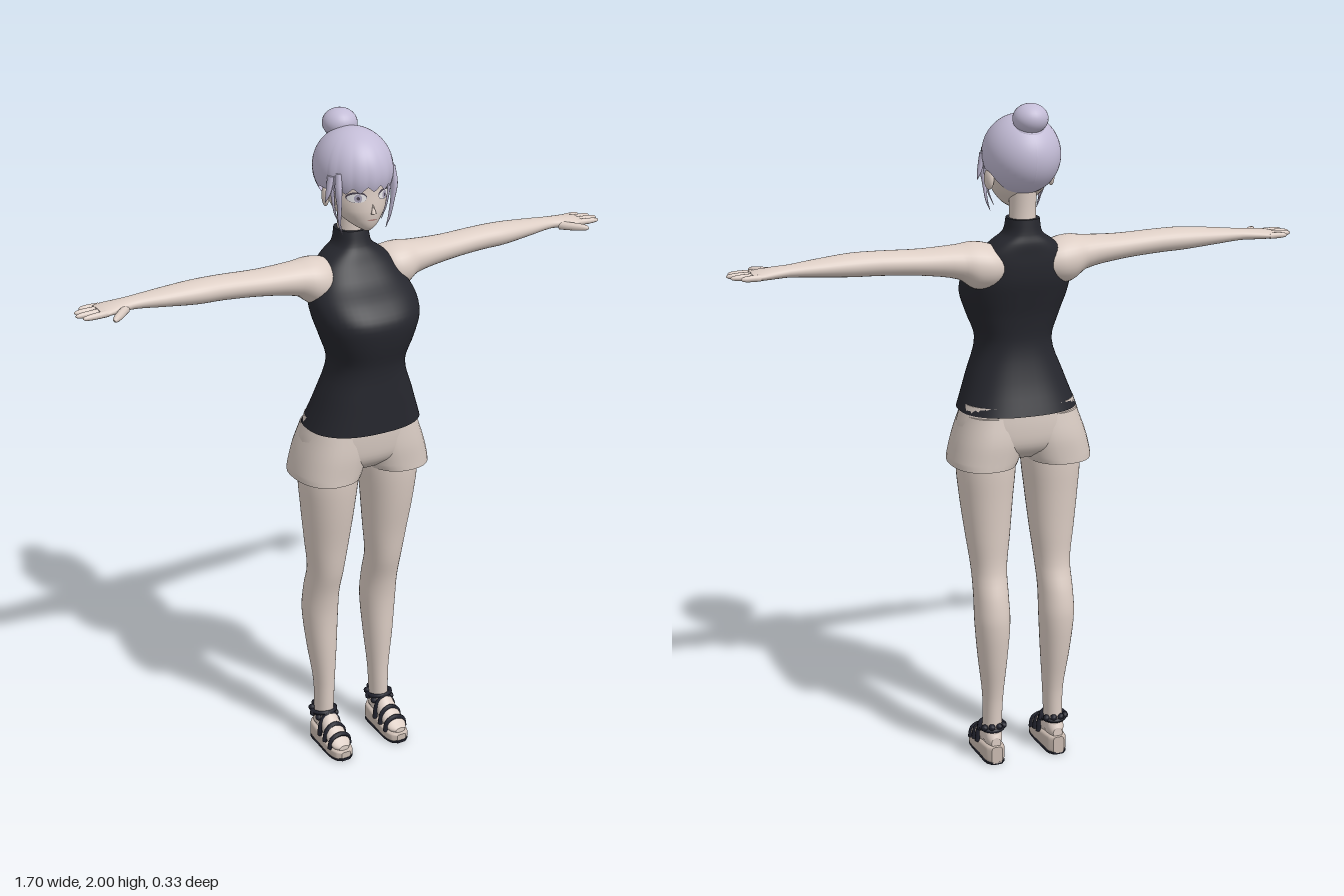
import * as THREE from 'three';

const mat = (name, color, side = THREE.FrontSide) => {
  const m = new THREE.MeshStandardMaterial({ color, side });
  m.name = name;
  return m;
};

// Smooth interpolation of rows [key, aMin, aMax, bMin, bMax], keys ascending
function at(rows, k) {
  let i = 0;
  while (i < rows.length - 2 && k > rows[i + 1][0]) i++;
  const p = rows[i], q = rows[i + 1], o = rows[Math.max(i - 1, 0)], r = rows[Math.min(i + 2, rows.length - 1)];
  const h = q[0] - p[0], t = (k - p[0]) / h, t2 = t * t, t3 = t2 * t;
  return [1, 2, 3, 4].map(c => {
    const m0 = (q[c] - o[c]) / (q[0] - o[0]), m1 = (r[c] - p[c]) / (r[0] - p[0]);
    return (2 * t3 - 3 * t2 + 1) * p[c] + (t3 - 2 * t2 + t) * h * m0 + (3 * t2 - 2 * t3) * q[c] + (t3 - t2) * h * m1;
  });
}

// Closed body of superellipse sections along axis 'y' (a=x,b=z), 'x' (a=z,b=y) or 'z' (a=y,b=x)
function loft(rows, { axis = 'y', n = 2, seg = 32, sub = 4 } = {}) {
  const put = { y: (k, a, b) => [a, k, b], x: (k, a, b) => [k, b, a], z: (k, a, b) => [b, a, k] }[axis];
  const pos = [], idx = [], count = (rows.length - 1) * sub;
  const bend = v => Math.sign(v) * Math.abs(v) ** (2 / n);
  const ring = k => {
    const [a0, a1, b0, b1] = at(rows, k);
    for (let j = 0; j < seg; j++) {
      const u = j / seg * Math.PI * 2;
      pos.push(...put(k, (a0 + a1) / 2 + (a1 - a0) / 2 * bend(Math.cos(u)), (b0 + b1) / 2 + (b1 - b0) / 2 * bend(Math.sin(u))));
    }
    return [(a0 + a1) / 2, (b0 + b1) / 2];
  };
  for (let i = 0; i <= count; i++) {
    const s = Math.min(Math.floor(i / sub), rows.length - 2), f = i / sub - s;
    ring(rows[s][0] + (rows[s + 1][0] - rows[s][0]) * f);
    if (i < count) for (let j = 0; j < seg; j++) {
      const p = i * seg + j, q = i * seg + (j + 1) % seg;
      idx.push(p, p + seg, q, q, p + seg, q + seg);
    }
  }
  for (const top of [0, 1]) {
    const k = rows[top ? rows.length - 1 : 0][0], base = pos.length / 3, c = ring(k);
    pos.push(...put(k, ...c));
    for (let j = 0; j < seg; j++) {
      const p = base + j, q = base + (j + 1) % seg;
      idx.push(base + seg, top ? q : p, top ? p : q);
    }
  }
  const g = new THREE.BufferGeometry();
  g.setAttribute('position', new THREE.Float32BufferAttribute(pos, 3));
  g.setIndex(idx);
  g.computeVertexNormals();
  return g;
}

function mirrored(geo) {
  const g = geo.clone(), P = g.attributes.position, ix = g.index.array;
  for (let i = 0; i < P.count; i++) P.setX(i, -P.getX(i));
  for (let i = 0; i < ix.length; i += 3) [ix[i], ix[i + 1]] = [ix[i + 1], ix[i]];
  g.computeVertexNormals();
  return g;
}

export function createModel() {
  const root = new THREE.Group();
  const skin = mat('skin', 0xdccdc4), hair = mat('lavender hair', 0xc3bcd6, THREE.DoubleSide);
  const cloth = mat('charcoal cloth', 0x25262d), shortsMat = mat('beige cloth', 0xd2c5bd);
  const sole = mat('wedge sole', 0xc9bab0), strap = mat('dark strap', 0x20212c);
  const white = mat('eye white', 0xf2f0f2), iris = mat('iris', 0xa9a3b8), line = mat('lash', 0x4a4350), lip = mat('lip', 0xb88d88);
  const add = (name, geo, m) => {
    const mesh = new THREE.Mesh(geo, m);
    mesh.name = name;
    root.add(mesh);
  };
  const pair = (name, geo, m) => {
    add('left' + name, geo, m);
    add('right' + name, mirrored(geo), m);
  };

  // Sleeveless high-neck top
  add('top', loft([
    [1.105, -0.176, 0.176, -0.125, 0.142], [1.2, -0.142, 0.142, -0.09, 0.14], [1.3, -0.11, 0.11, -0.068, 0.14],
    [1.38, -0.135, 0.135, -0.075, 0.16], [1.44, -0.155, 0.155, -0.09, 0.163], [1.49, -0.157, 0.157, -0.103, 0.128],
    [1.535, -0.14, 0.14, -0.107, 0.075], [1.575, -0.12, 0.12, -0.107, 0.045], [1.605, -0.088, 0.088, -0.106, 0.028],
    [1.63, -0.055, 0.055, -0.1, 0.015], [1.672, -0.046, 0.046, -0.095, 0.004],
  ], { n: 2.4, seg: 48 }), cloth);

  // Shorts: hips plus two flared legs
  add('shortsHips', loft([
    [0.965, -0.09, 0.09, -0.07, 0.06], [1.0, -0.175, 0.175, -0.115, 0.1],
    [1.05, -0.188, 0.188, -0.125, 0.11], [1.13, -0.166, 0.166, -0.115, 0.108],
  ], { n: 2.3 }), shortsMat);
  pair('ShortsLeg', loft([
    [0.95, 0.018, 0.213, -0.132, 0.113], [0.97, 0.008, 0.212, -0.131, 0.112],
    [1.03, -0.005, 0.197, -0.127, 0.11], [1.1, 0, 0.172, -0.11, 0.1],
  ], { n: 2.3 }), shortsMat);

  // Legs
  pair('Leg', loft([
    [0.07, 0.072, 0.128, -0.085, -0.015], [0.14, 0.07, 0.126, -0.085, -0.012], [0.22, 0.066, 0.128, -0.09, -0.01],
    [0.34, 0.057, 0.143, -0.112, -0.004], [0.46, 0.05, 0.154, -0.126, 0], [0.54, 0.051, 0.153, -0.116, 0.012],
    [0.62, 0.048, 0.153, -0.092, 0.034], [0.72, 0.036, 0.166, -0.092, 0.052], [0.84, 0.024, 0.18, -0.098, 0.076],
    [0.95, 0.014, 0.187, -0.105, 0.09], [1.02, 0.02, 0.17, -0.1, 0.085],
  ], { n: 2.1 }), skin);

  // Feet and wedge sandals
  pair('Foot', loft([
    [-0.09, 0.05, 0.085, 0.085, 0.115], [-0.07, 0.045, 0.12, 0.074, 0.126], [-0.02, 0.04, 0.125, 0.07, 0.13],
    [0.03, 0.03, 0.085, 0.068, 0.133], [0.065, 0.028, 0.06, 0.07, 0.132], [0.084, 0.032, 0.048, 0.085, 0.118],
  ], { axis: 'z' }), skin);
  const soleRows = top => [
    [-0.098, 0.004, top(0.058), 0.083, 0.117], [-0.08, 0.004, top(0.06), 0.07, 0.13], [-0.02, 0.004, top(0.052), 0.066, 0.134],
    [0.045, 0.004, top(0.036), 0.063, 0.137], [0.08, 0.005, top(0.034), 0.07, 0.13], [0.093, 0.01, top(0.03), 0.085, 0.115],
  ];
  pair('Sole', loft(soleRows(y => y), { axis: 'z', n: 5 }), sole);
  pair('Outsole', loft(soleRows(() => 0.012).map(r => [r[0], 0, 0.009, r[3], r[4]]), { axis: 'z', n: 5 }), strap);
  const ankle = new THREE.TorusGeometry(0.036, 0.007, 8, 28).rotateX(Math.PI / 2 - 0.15).translate(0.1, 0.112, -0.048);
  pair('AnkleStrap', ankle, strap);
  for (const [z, h, base] of [[0.052, 0.072, 0.03], [0.02, 0.092, 0.04], [-0.012, 0.118, 0.045]]) {
    const arch = new THREE.CatmullRomCurve3([[0.065, base], [0.073, (base + h) / 2 + 0.01], [0.1, h], [0.127, (base + h) / 2 + 0.01], [0.135, base]]
      .map(([x, y]) => new THREE.Vector3(x, y, z)));
    pair('FootStrap', new THREE.TubeGeometry(arch, 20, 0.0075, 6), strap);
  }
  for (let i = 0; i < 10; i++) {
    const u = i / 10 * Math.PI * 2;
    pair('StrapPetal', new THREE.SphereGeometry(0.011, 8, 6).scale(1, 0.9, 1)
      .translate(0.1 + 0.037 * Math.cos(u), 0.108 - 0.012 * Math.sin(u), -0.048 + 0.037 * Math.sin(u)), strap);
  }

  // Arms and hands
  pair('Arm', loft([
    [0.05, -0.09, -0.01, 1.5, 1.58], [0.1, -0.106, 0.035, 1.475, 1.602], [0.145, -0.104, 0.042, 1.475, 1.609],
    [0.19, -0.092, 0.03, 1.505, 1.604], [0.3, -0.082, 0.018, 1.525, 1.6], [0.42, -0.08, 0.012, 1.535, 1.604],
    [0.5, -0.08, 0.012, 1.538, 1.604], [0.6, -0.077, -0.002, 1.547, 1.596], [0.68, -0.073, -0.016, 1.554, 1.588],
    [0.72, -0.077, -0.01, 1.553, 1.585], [0.765, -0.085, -0.002, 1.553, 1.58], [0.785, -0.08, -0.006, 1.557, 1.576],
  ], { axis: 'x' }), skin);
  const finger = (len, r) => loft([[0, -r, r, -r, r], [len * 0.6, -r * 0.9, r * 0.9, -r * 0.9, r * 0.9],
    [len * 0.92, -r * 0.6, r * 0.6, -r * 0.6, r * 0.6], [len, -r * 0.15, r * 0.15, -r * 0.15, r * 0.15]], { axis: 'x', seg: 10, sub: 2 });
  [[-0.076, 0.055, 0.1], [-0.055, 0.078, 0.03], [-0.034, 0.085, -0.03], [-0.012, 0.075, -0.1]].forEach(([z, len, turn]) =>
    pair('Finger', finger(len, 0.0095).rotateY(turn).translate(0.765, 1.566, z), skin));
  pair('Thumb', finger(0.09, 0.0125).rotateY(-0.83).translate(0.71, 1.564, -0.022), skin);

  // Neck and head
  add('neck', loft([[1.62, -0.04, 0.04, -0.088, -0.004], [1.69, -0.038, 0.038, -0.085, -0.004], [1.77, -0.04, 0.04, -0.09, 0]]), skin);
  const headRows = [
    [1.688, -0.01, 0.01, 0.03, 0.055], [1.7, -0.03, 0.03, -0.005, 0.066], [1.72, -0.053, 0.053, -0.05, 0.073],
    [1.75, -0.075, 0.075, -0.085, 0.077], [1.8, -0.088, 0.088, -0.115, 0.075], [1.86, -0.09, 0.09, -0.12, 0.072],
    [1.92, -0.06, 0.06, -0.09, 0.035],
  ];
  add('head', loft(headRows, { seg: 40 }), skin);
  add('nose', new THREE.ConeGeometry(0.008, 0.028, 8).rotateX(-0.2).translate(0, 1.757, 0.079), skin);
  pair('Ear', new THREE.SphereGeometry(0.03, 16, 12).scale(0.35, 1, 0.65).rotateY(0.3).translate(0.093, 1.782, -0.025), skin);

  // Thin face details laid on the head surface
  const onFace = (x, y, w, h, lift) => {
    const g = new THREE.RingGeometry(0, 1, 28, 4).scale(w, h, 1).translate(x, y, 0), P = g.attributes.position;
    for (let i = 0; i < P.count; i++) {
      const [, a1, b0, b1] = at(headRows, P.getY(i));
      P.setZ(i, (b0 + b1) / 2 + (b1 - b0) / 2 * Math.sqrt(Math.max(0, 1 - (P.getX(i) / a1) ** 2)) + lift);
    }
    g.computeVertexNormals();
    return g;
  };
  pair('EyeLash', onFace(0.043, 1.792, 0.025, 0.0155, 0.0015), line);
  pair('EyeWhite', onFace(0.043, 1.79, 0.023, 0.0125, 0.003), white);
  pair('Iris', onFace(0.042, 1.79, 0.0095, 0.0115, 0.0042), iris);
  pair('Pupil', onFace(0.042, 1.79, 0.004, 0.005, 0.0052), line);
  pair('Brow', onFace(0.043, 1.822, 0.022, 0.0025, 0.002), line);
  add('mouth', onFace(0, 1.724, 0.015, 0.0025, 0.002), lip);

  // Hair cap with a zigzag fringe, high sides and a full back
  const U = 144, V = 24, pos = [], idx = [];
  for (let i = 0; i <= U; i++) {
    const a = i / U * Math.PI * 2 - Math.PI, s = Math.abs(a);
    const zig = Math.abs(((s * 2.6) % 1) - 0.5) * 0.34;
    const end = s < 1.2 ? 1.8 + zig + s * 0.08 : 1.96 + 0.78 * THREE.MathUtils.smoothstep(s, 1.65, 2.2);
    for (let j = 0; j <= V; j++) {
      const phi = end * j / V, front = s < 1.2 ? 0.022 * Math.abs(Math.cos(s * 2.6 * Math.PI)) * (j / V) ** 2 : 0;
      const r = Math.sin(phi) * (1 + front);
      pos.push(0.109 * r * Math.sin(a), 1.85 + 0.113 * Math.cos(phi), -0.035 + 0.125 * r * Math.cos(a));
      if (i < U && j < V) {
        const p = i * (V + 1) + j, q = p + V + 1;
        idx.push(p, p + 1, q, q, p + 1, q + 1);
      }
    }
  }
  const cap = new THREE.BufferGeometry();
  cap.setAttribute('position', new THREE.Float32BufferAttribute(pos, 3));
  cap.setIndex(idx);
  cap.computeVertexNormals();
  add('hairCap', cap, hair);
  add('hairBun', new THREE.SphereGeometry(0.05, 28, 20).scale(1, 0.84, 1).translate(0, 1.958, -0.106), hair);
  add('bunBase', new THREE.TorusGeometry(0.034, 0.012, 8, 28).rotateX(Math.PI / 2 - 0.45).translate(0, 1.93, -0.094), hair);

  // Loose locks framing the face
  const lock = pts => loft(pts.map(([y, x, z, r]) => [y, x - r * 0.7, x + r * 0.7, z - r, z + r]), { seg: 10 });
  pair('FrontLock', lock([[1.68, 0.07, 0.03, 0.001], [1.71, 0.08, 0.032, 0.005], [1.76, 0.085, 0.04, 0.008], [1.81, 0.089, 0.042, 0.013], [1.86, 0.085, 0.035, 0.012]]), hair);
  pair('SideLock', lock([[1.775, 0.114, 0.012, 0.001], [1.8, 0.107, 0.015, 0.009], [1.85, 0.097, 0.015, 0.013]]), hair);
  pair('NapeLock', lock([[1.7, 0.066, 0.012, 0.001], [1.74, 0.083, 0.01, 0.004], [1.82, 0.094, 0.012, 0.008]]), hair);
  return root;
}
